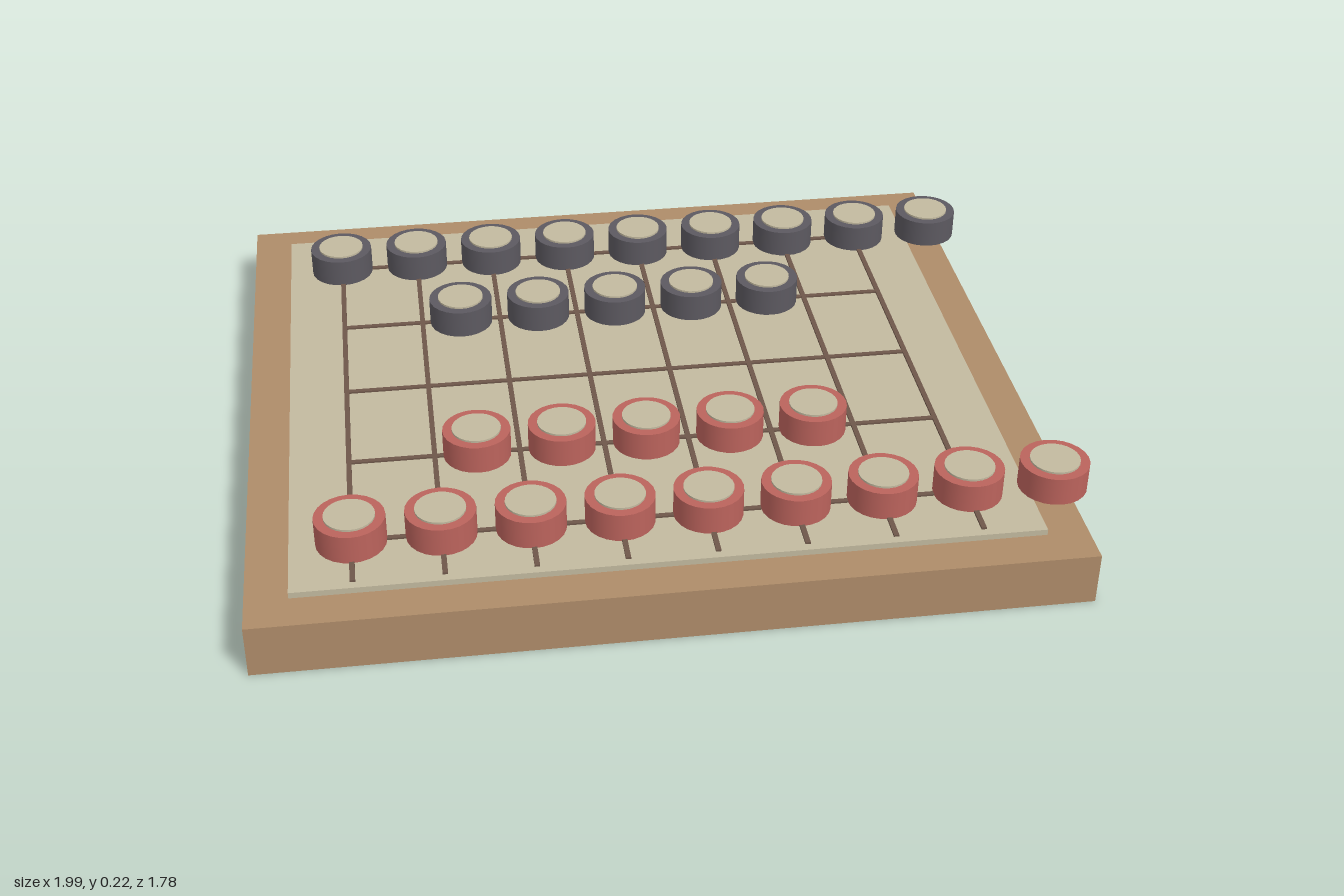
import * as THREE from 'three';

const material = (name, color) => {
  const m = new THREE.MeshStandardMaterial({ color });
  m.name = name;
  return m;
};

export function createModel() {
  const wood = material('wood', 0xae8c69);
  const cream = material('cream', 0xc2b99f);
  const ink = material('line brown', 0x6e574a);
  const red = material('red', 0xbb635c);
  const dark = material('charcoal', 0x5c5960);

  const model = new THREE.Group();
  model.name = 'boardGame';

  const box = (parent, name, mat, w, h, d, x, y0, z) => {
    const mesh = new THREE.Mesh(new THREE.BoxGeometry(w, h, d), mat);
    mesh.name = name;
    mesh.position.set(x, y0 + h / 2, z);
    parent.add(mesh);
  };

  // Board and raised playing surface
  const centre = -0.025;
  box(model, 'boardBase', wood, 1.95, 0.132, 1.782, centre, 0, 0);
  box(model, 'playingSurface', cream, 1.75, 0.015, 1.592, centre, 0.132, 0);

  // Grid lines
  const step = 0.2084, rowStep = 0.3125, firstX = -0.756;
  const lines = new THREE.Group();
  lines.name = 'gridLines';
  model.add(lines);
  for (let i = 0; i < 8; i++) {
    box(lines, 'fileLine', ink, 0.0125, 0.005, 1.55, firstX + i * step, 0.147, 0);
  }
  for (let j = -2; j <= 2; j++) {
    box(lines, 'rankLine', ink, 7 * step, 0.0045, 0.0125, firstX + 3.5 * step, 0.147, j * rowStep);
  }

  // Round pieces, each a coloured drum with a pale disc on top
  const drum = new THREE.CylinderGeometry(0.083, 0.083, 0.072, 24);
  const disc = new THREE.CylinderGeometry(0.06, 0.06, 0.007, 24);
  const addPiece = (parent, mat, x, z) => {
    const piece = new THREE.Group();
    piece.name = 'piece';
    piece.position.set(x, 0.148, z);
    const body = new THREE.Mesh(drum, mat);
    body.name = 'pieceBody';
    body.position.y = 0.036;
    const face = new THREE.Mesh(disc, cream);
    face.name = 'pieceFace';
    face.position.y = 0.0735;
    piece.add(body, face);
    parent.add(piece);
  };

  // Two sides: a back row of nine and a front row of five
  for (const [name, mat, side] of [['redPieces', red, 1], ['darkPieces', dark, -1]]) {
    const set = new THREE.Group();
    set.name = name;
    model.add(set);
    for (let i = 0; i < 9; i++) addPiece(set, mat, firstX + i * step, side * 2 * rowStep);
    for (let i = 0; i < 5; i++) addPiece(set, mat, firstX + (i + 1.5) * step, side * rowStep);
  }
  return model;
}
